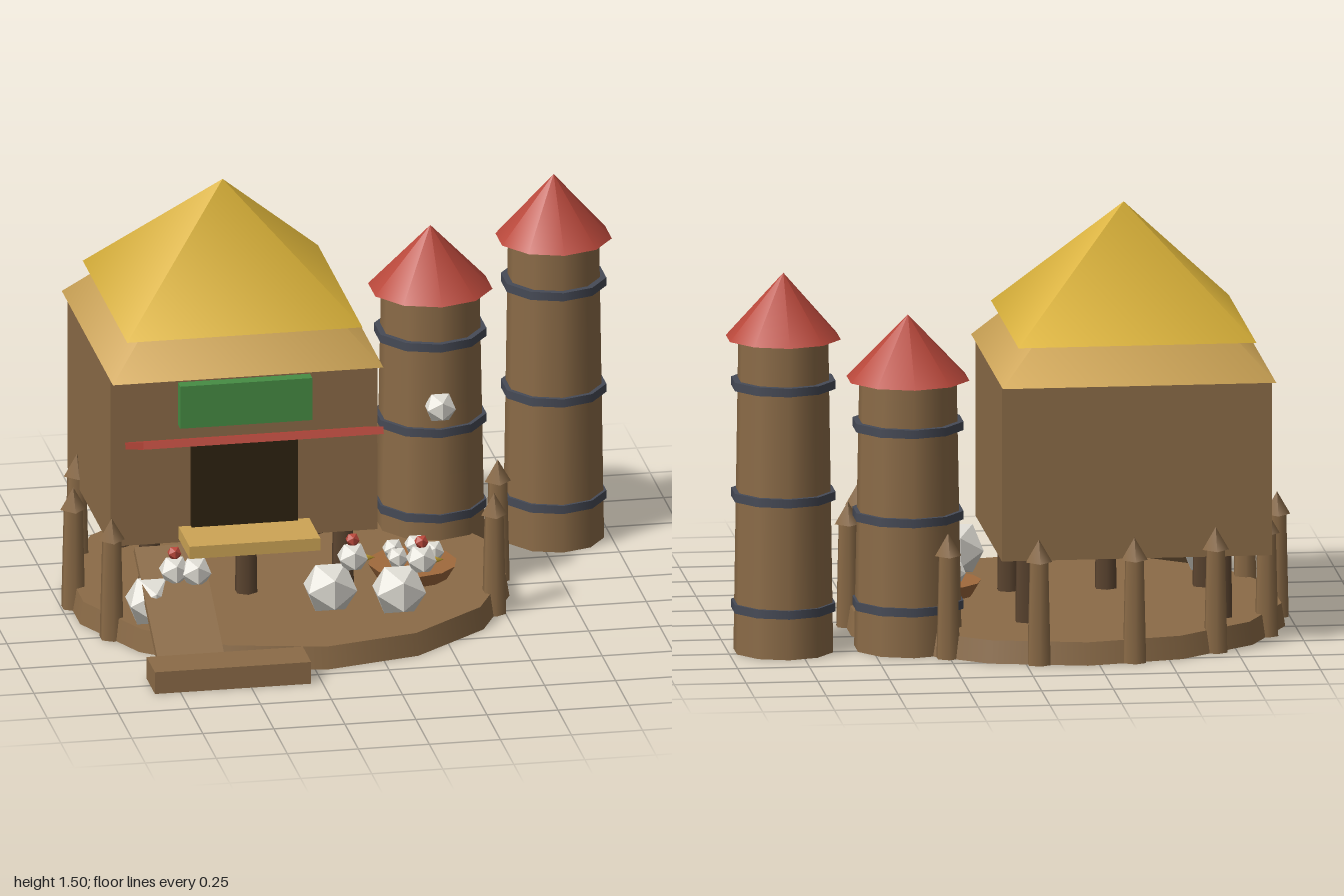
import * as THREE from 'three';

const mat = (name, color, flatShading = false) => {
  const m = new THREE.MeshStandardMaterial({ color, flatShading });
  m.name = name;
  return m;
};

export function createModel() {
  const wood = mat('wood', 0x8b6b47);
  const darkWood = mat('dark wood', 0x5c4530);
  const gold = mat('gold thatch', 0xd8b038);
  const straw = mat('straw', 0xcda455);
  const red = mat('red', 0xb8473a);
  const iron = mat('iron', 0x464a56);
  const green = mat('green', 0x468c44);
  const dark = mat('doorway', 0x2e2210);
  const clay = mat('nest brown', 0xa06a3c);
  const white = mat('white', 0xdedbd3, true);

  const model = new THREE.Group();
  model.name = 'chickenCoop';

  const add = (name, geometry, material, x, y, z, parent = model) => {
    const mesh = new THREE.Mesh(geometry, material);
    mesh.name = name;
    mesh.position.set(x, y, z);
    parent.add(mesh);
    return mesh;
  };
  const box = (name, m, w, h, d, x, y, z) => add(name, new THREE.BoxGeometry(w, h, d), m, x, y, z);
  // Round part standing on height y
  const round = (name, m, rTop, rBottom, h, sides, x, y, z, parent) =>
    add(name, new THREE.CylinderGeometry(rTop, rBottom, h, sides), m, x, y + h / 2, z, parent);
  const ball = (name, r, x, y, z, parent, m = white) =>
    add(name, new THREE.IcosahedronGeometry(r, 0), m, x, y, z, parent);

  // Ground disc
  const cx = -0.21, cz = -0.067;
  round('groundDisc', wood, 0.762, 0.775, 0.08, 14, cx, 0, cz);

  // Pointed fence posts round the back, leaving the front open
  for (let i = -6; i <= 7; i++) {
    if (i >= 2 && i <= 5) continue;
    const a = (i * Math.PI * 2) / 14;
    const post = new THREE.Group();
    post.name = 'fencePost';
    post.position.set(cx + 0.747 * Math.cos(a), 0, cz + 0.747 * Math.sin(a));
    round('postShaft', wood, 0.035, 0.044, 0.36, 6, 0, 0, 0, post);
    round('postTip', wood, 0, 0.046, 0.08, 4, 0, 0.36, 0, post);
    model.add(post);
  }

  // House on stilts
  const hx = -0.41, hz = -0.18;
  box('houseWalls', wood, 0.94, 0.625, 0.795, hx, 0.633, hz);
  for (const [x, z] of [[-0.72, 0.1], [-0.38, 0.1], [-0.04, 0.1], [-0.72, -0.44], [-0.04, -0.44]])
    round('stilt', darkWood, 0.037, 0.042, 0.33, 6, x, 0, z);

  // Two-tier pyramid roof
  const roof = (name, m, half, h, y) => {
    const r = add(name, new THREE.ConeGeometry(half * Math.SQRT2, h, 4), m, hx, y + h / 2, hz);
    r.rotation.y = Math.PI / 4;
  };
  roof('lowerRoof', straw, 0.476, 0.5, 0.945);
  roof('upperRoof', gold, 0.414, 0.425, 1.075);

  // Shop front: doorway, sign board, awning, step
  box('doorway', dark, 0.375, 0.375, 0.025, hx, 0.508, 0.223);
  box('signBoard', green, 0.465, 0.155, 0.05, hx, 0.833, 0.237);
  box('awning', red, 0.845, 0.025, 0.36, hx, 0.76, 0.413).rotation.x = -0.35;
  box('doorStep', straw, 0.46, 0.045, 0.22, hx, 0.356, 0.313);

  // Ramp and trough
  box('ramp', wood, 0.235, 0.025, 0.52, -0.683, 0.18, 0.46).rotation.x = 0.528;
  box('trough', wood, 0.55, 0.08, 0.155, -0.565, 0.04, 0.757);

  // Silos with hoops and pointed caps
  const silo = (x, rTop, rBottom, h, capR, capH, hoopR, hoops) => {
    const g = new THREE.Group();
    g.name = 'silo';
    g.position.set(x, 0, -0.455);
    round('siloBody', wood, rTop, rBottom, h, 10, 0, 0, 0, g);
    round('siloCap', red, 0, capR, capH, 10, 0, h, 0, g);
    for (const y of hoops) round('siloHoop', iron, hoopR, hoopR, 0.03, 10, 0, y - 0.015, 0, g);
    model.add(g);
  };
  silo(0.373, 0.172, 0.19, 0.95, 0.217, 0.225, 0.196, [0.79, 0.475, 0.16]);
  silo(0.807, 0.159, 0.176, 1.105, 0.203, 0.228, 0.184, [0.945, 0.553, 0.16]);
  ball('siloBall', 0.058, 0.373, 0.57, -0.27);

  // Nest with five eggs
  round('nest', clay, 0.155, 0.125, 0.05, 12, 0.214, 0.08, 0.053);
  for (let i = 0; i < 5; i++) {
    const a = (i * Math.PI * 2) / 5;
    ball('egg', 0.04, 0.214 + 0.074 * Math.cos(a), 0.165, 0.053 + 0.074 * Math.sin(a));
  }

  // Chickens facing +x
  for (const [x, z] of [[-0.13, 0.345], [0.1, 0.41], [-0.76, 0.36]]) {
    const hen = new THREE.Group();
    hen.name = 'chicken';
    hen.position.set(x, 0.166, z);
    ball('chickenBody', 0.1, 0, 0, 0, hen);
    ball('chickenHead', 0.057, 0.078, 0.106, 0, hen);
    ball('chickenComb', 0.026, 0.078, 0.17, 0, hen, red);
    const beak = add('chickenBeak', new THREE.ConeGeometry(0.014, 0.035, 4), gold, 0.14, 0.1, 0, hen);
    beak.rotation.z = -Math.PI / 2;
    model.add(hen);
  }
  ball('rampBall', 0.058, -0.61, 0.27, 0.38);

  return model;
}
